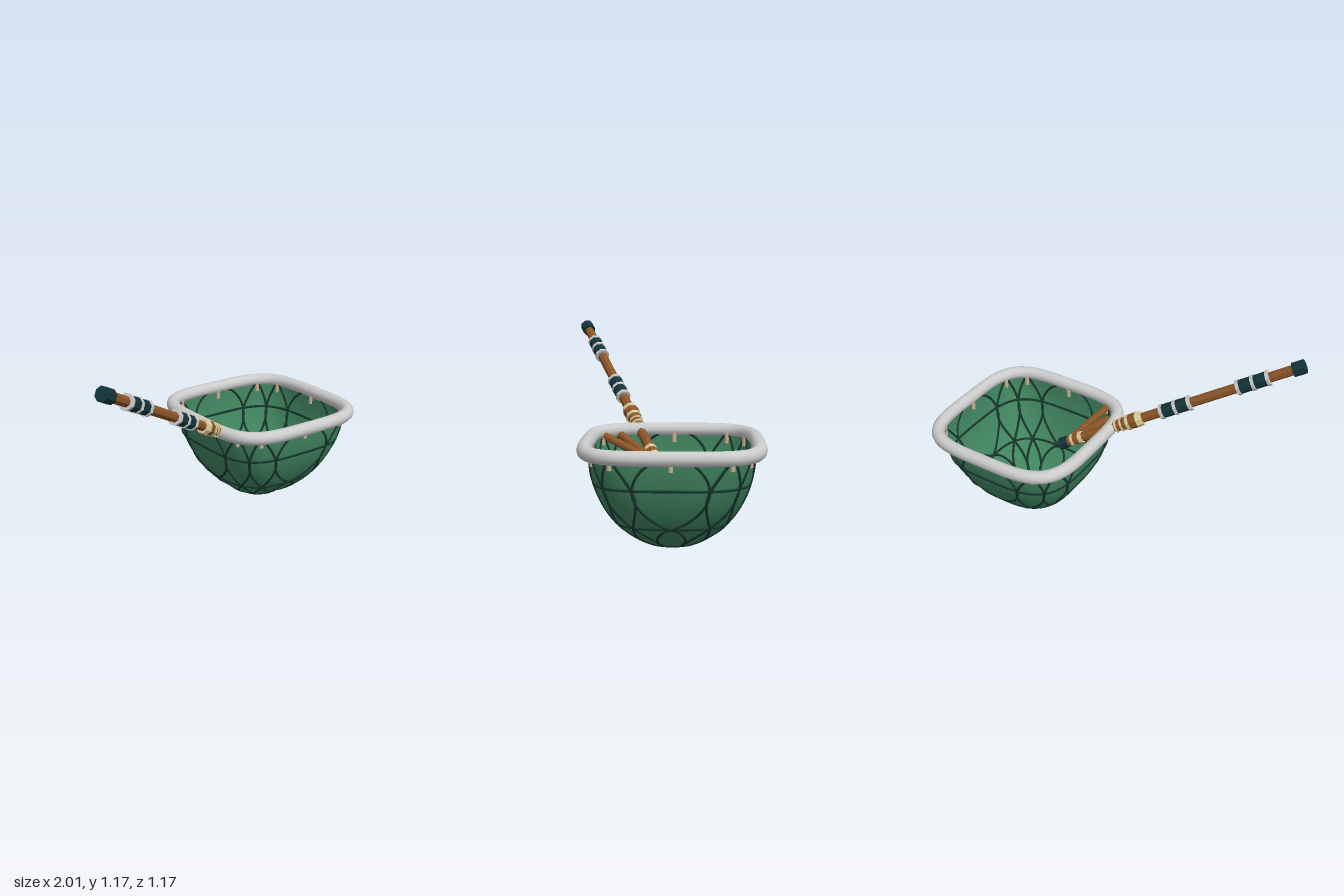
import * as THREE from 'three';
import { ParametricGeometry } from 'three/addons/geometries/ParametricGeometry.js';

const CX = 0.49, CZ = -0.08, TOP = 0.577, R = 0.445, DEPTH = 0.569;

const mat = (color, extra = {}) => new THREE.MeshStandardMaterial({ color, ...extra });

// Superellipse ring point: round for n = 2, squarer as n grows
function ringPoint(r, a, n, y, target = new THREE.Vector3()) {
  const p = (s) => Math.sign(s) * Math.pow(Math.abs(s), 2 / n);
  return target.set(CX + r * p(Math.cos(a)), y, CZ + r * p(Math.sin(a)));
}

// Bowl surface: v = 0 at the bottom, 1 at the rim; round below, square above
function bowlPoint(a, v, target) {
  const u = (1 - v) * Math.PI / 2;
  return ringPoint(R * Math.cos(u), a, 2 + 2 * v, TOP - DEPTH * Math.sin(u), target);
}

export function createModel() {
  const model = new THREE.Group();
  const grey = mat(0xcccccc);
  const cordMat = mat(0x17382e);
  const wood = mat(0x8b5527, { flatShading: true });
  const dark = mat(0x12343a, { flatShading: true });
  const cream = mat(0xd9c898, { flatShading: true });
  const band = mat(0xcccccc, { flatShading: true });

  const add = (parent, name, geometry, material) => {
    const mesh = new THREE.Mesh(geometry, material);
    mesh.name = name;
    parent.add(mesh);
    return mesh;
  };
  const loop = (count, fn) => new THREE.CatmullRomCurve3(
    Array.from({ length: count }, (_, i) => fn(i / count * Math.PI * 2)), true);

  // Bowl of the net
  const bowl = new ParametricGeometry(
    (u, v, t) => bowlPoint(u * Math.PI * 2, 0.001 + v * 0.999, t), 96, 32);
  add(model, 'netBowl', bowl, mat(0x40845f, { side: THREE.DoubleSide }));

  // Thick rim
  const rimPath = loop(64, (a) => ringPoint(0.466, a, 4, TOP));
  add(model, 'rim', new THREE.TubeGeometry(rimPath, 128, 0.04, 12, true), grey);

  // Net cords: crossing pairs of waving strands, and level rings
  const cords = new THREE.Group();
  cords.name = 'netCords';
  model.add(cords);
  for (let k = 0; k < 12; k++) {
    for (const side of [-1, 1]) {
      const pts = [];
      for (let i = 0; i <= 32; i++) {
        const v = 0.01 + 0.99 * i / 32;
        pts.push(bowlPoint(k * Math.PI / 6 + side * 0.27 * Math.sin(v * Math.PI * 2), v));
      }
      add(cords, 'strand', new THREE.TubeGeometry(new THREE.CatmullRomCurve3(pts), 56, 0.008, 5), cordMat);
    }
  }
  for (const v of [0.2, 0.5, 0.8]) {
    add(cords, 'levelCord', new THREE.TubeGeometry(loop(48, (a) => bowlPoint(a, v)), 96, 0.008, 5, true), cordMat);
  }

  // Pegs hanging under the rim
  const pegMat = mat(0xcbb591);
  for (let k = 0; k < 12; k++) {
    const peg = add(model, 'peg', new THREE.CylinderGeometry(0.013, 0.013, 0.06, 8), pegMat);
    ringPoint(0.44, k * Math.PI / 6, 4, 0.535, peg.position);
  }

  // Handle: local +y runs from the outer cap down into the bowl
  const start = new THREE.Vector3(-0.99, 1.14, 0.55);
  const tip = new THREE.Vector3(0.31, 0.42, 0.005);
  const length = start.distanceTo(tip);
  const handle = new THREE.Group();
  handle.name = 'handle';
  handle.position.copy(start);
  handle.quaternion.setFromUnitVectors(new THREE.Vector3(0, 1, 0), tip.clone().sub(start).normalize());
  model.add(handle);
  // Turned piece between two x positions along the handle
  const turned = (name, material, x0, x1, r0, r1 = r0) => {
    const s = (x) => (x - start.x) / (tip.x - start.x) * length;
    const h = s(x1) - s(x0);
    const m = add(handle, name, new THREE.CylinderGeometry(r1, r0, h, 8), material);
    m.position.y = s(x0) + h / 2;
  };
  turned('shaft', wood, -0.96, 0.29, 0.03);
  turned('endCap', dark, -0.99, -0.93, 0.042);
  turned('tipCap', dark, 0.27, 0.315, 0.038);

  // Two wrapped grips with pale bands
  for (const x of [-0.735, -0.335]) {
    turned('grip', dark, x - 0.08, x + 0.08, 0.042);
    for (const dx of [-0.074, 0, 0.074]) turned('gripBand', band, x + dx - 0.008, x + dx + 0.008, 0.047);
  }

  // Ferrule where the handle meets the rim
  turned('ferruleRing', cream, -0.155, -0.125, 0.042, 0.05);
  turned('ferruleBody', wood, -0.125, -0.085, 0.048, 0.046);
  turned('ferruleRing', cream, -0.085, -0.068, 0.048);
  turned('ferruleNeck', wood, -0.068, -0.01, 0.041, 0.034);
  for (const x of [-0.04, -0.01, 0.02]) turned('lashing', cream, x - 0.005, x + 0.005, 0.042);
  turned('innerRing', cream, 0.185, 0.205, 0.038);
  turned('innerCollar', wood, 0.205, 0.235, 0.036);
  turned('innerRing', cream, 0.235, 0.25, 0.038);

  // Two brace rods fanning back from the tip toward the rim
  for (const end of [[0.1, 0.555, 0.235], [0.17, 0.56, 0.325]]) {
    const path = new THREE.LineCurve3(new THREE.Vector3(0.285, 0.43, 0.02), new THREE.Vector3(...end));
    const rod = add(model, 'braceRod', new THREE.CylinderGeometry(0.023, 0.023, path.getLength(), 8), wood);
    path.getPoint(0.5, rod.position);
    rod.quaternion.setFromUnitVectors(new THREE.Vector3(0, 1, 0), path.getTangent(0));
  }
  return model;
}
